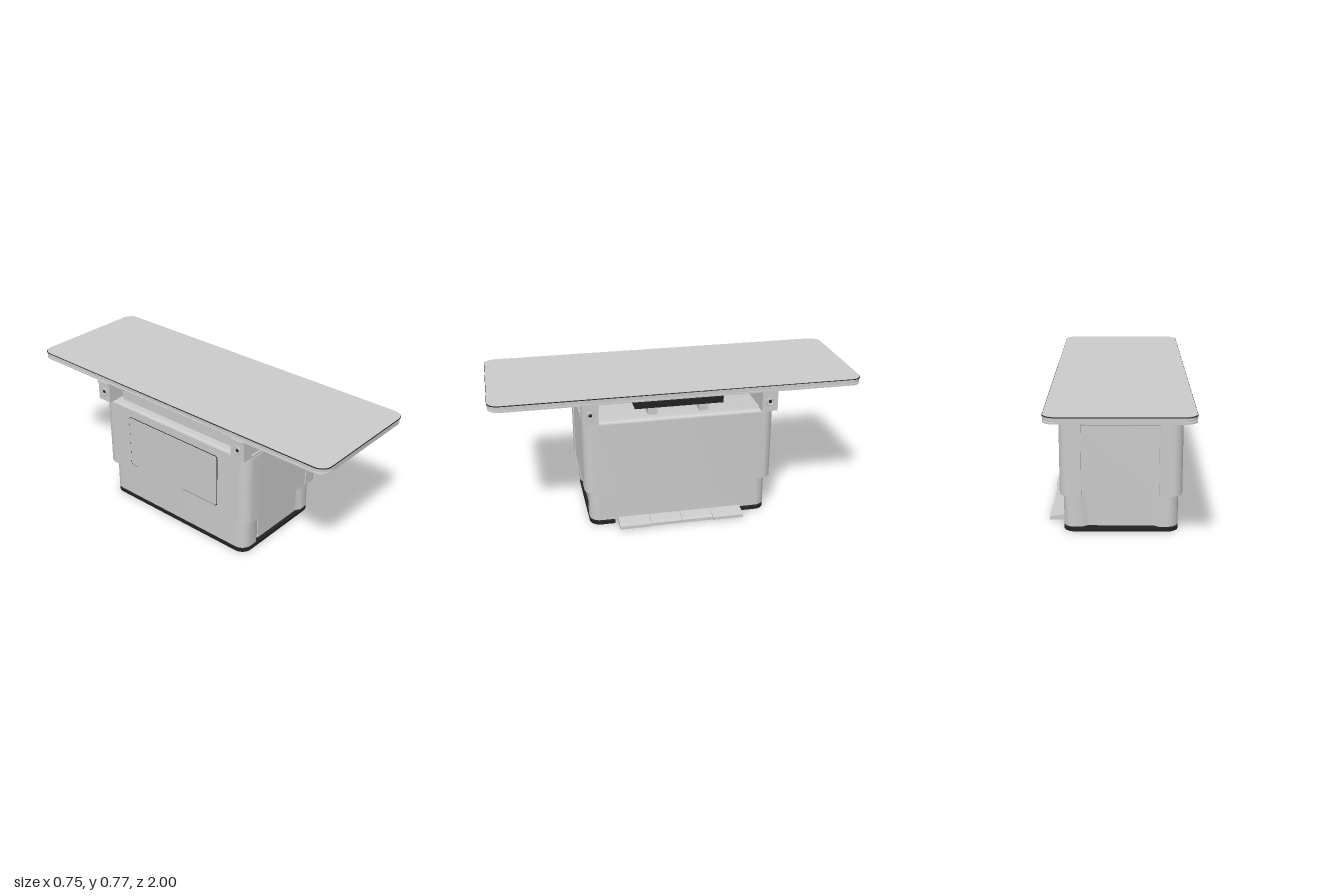
import * as THREE from 'three';
import { toCreasedNormals } from 'three/addons/utils/BufferGeometryUtils.js';

const CX = -0.0175; // the body's centre line in x

export function createModel() {
  const model = new THREE.Group();
  model.name = 'adjustableTable';
  const light = new THREE.MeshStandardMaterial({ color: 0xcbcbcb });
  light.name = 'light grey';
  const dark = new THREE.MeshStandardMaterial({ color: 0x222222 });
  dark.name = 'near black';

  function add(name, geometry, material, parent = model) {
    const mesh = new THREE.Mesh(geometry, material);
    mesh.name = name;
    parent.add(mesh);
    return mesh;
  }

  function box(name, x0, x1, y0, y1, z0, z1, material = light, parent = model) {
    const mesh = add(name, new THREE.BoxGeometry(x1 - x0, y1 - y0, z1 - z0), material, parent);
    mesh.position.set((x0 + x1) / 2, (y0 + y1) / 2, (z0 + z1) / 2);
    return mesh;
  }

  // Rounded rectangle; an optional recess {a, b, depth, slope} is cut in both short ends
  function outline(x0, x1, z, r, recess, Type = THREE.Shape) {
    const s = new Type();
    const end = (sign) => {
      if (!recess) return;
      const { a, b, depth, slope } = recess;
      const pts = [[a, z], [a + slope, z - depth], [b - slope, z - depth], [b, z]];
      if (sign > 0) pts.reverse();
      pts.forEach(([x, y]) => s.lineTo(x, sign * y));
    };
    s.moveTo(x0 + r, -z);
    end(-1);
    s.absarc(x1 - r, -z + r, r, -Math.PI / 2, 0);
    s.absarc(x1 - r, z - r, r, 0, Math.PI / 2);
    end(1);
    s.absarc(x0 + r, z - r, r, Math.PI / 2, Math.PI);
    s.absarc(x0 + r, -z + r, r, Math.PI, Math.PI * 1.5);
    return s;
  }

  // Upright slab from an outline, with an optional bevel that stays inside y0..y1
  function slab(name, shape, y0, y1, material = light, bevel = 0) {
    let g = new THREE.ExtrudeGeometry(shape, {
      depth: y1 - y0 - 2 * bevel, curveSegments: 10, bevelEnabled: bevel > 0,
      bevelSize: bevel, bevelThickness: bevel, bevelOffset: -bevel, bevelSegments: 4,
    });
    g.rotateX(-Math.PI / 2);
    g.translate(0, y0 + bevel, 0);
    return add(name, toCreasedNormals(g, 0.6), material);
  }

  // Base plate, cut away on the pedal side
  const base = new THREE.Shape();
  base.moveTo(-0.26, -0.495);
  base.absarc(0.225, -0.435, 0.06, -Math.PI / 2, 0);
  [[0.285, -0.36], [0.19, -0.36], [0.19, 0.36], [0.285, 0.36]].forEach(([x, y]) => base.lineTo(x, y));
  base.absarc(0.225, 0.435, 0.06, 0, Math.PI / 2);
  base.absarc(-0.26, 0.435, 0.06, Math.PI / 2, Math.PI);
  base.absarc(-0.26, -0.435, 0.06, Math.PI, Math.PI * 1.5);
  slab('basePlate', base, 0, 0.017, dark);
  slab('baseGasket', outline(-0.29, 0.265, 0.47, 0.05), 0.016, 0.028, dark);

  // Fixed lower housing and the sliding upper housing
  slab('lowerHousing', outline(-0.32, 0.285, 0.495, 0.06, { a: -0.217, b: 0.19, depth: 0.02, slope: 0.03 }), 0.027, 0.21);
  const seam = { a: -0.217, b: 0.19, depth: 0.005, slope: 0.001 };
  slab('upperHousing', outline(-0.34, 0.305, 0.52, 0.06, seam), 0.205, 0.6);
  slab('housingShoulder', outline(-0.34, 0.305, 0.52, 0.06), 0.585, 0.618, light, 0.016);

  // Screwed cover plates on both ends of the lower housing
  for (const s of [-1, 1]) {
    const cover = new THREE.Group();
    cover.name = 'endCover';
    box('coverPlate', -0.184, 0.158, 0.03, 0.195, s * 0.478 - 0.003, s * 0.478 + 0.003, light, cover);
    for (const x of [-0.183, 0.157]) for (const y of [0.045, 0.188]) {
      const screw = add('coverScrew', new THREE.CylinderGeometry(0.005, 0.005, 0.006, 12), light, cover);
      screw.rotation.x = Math.PI / 2;
      screw.position.set(x, y, s * 0.482);
    }
    model.add(cover);
  }

  // Rounded service panel on the -x side, with its gasket
  for (const [name, grow, depth, mat] of [['panelGasket', 0.003, 0.002, dark], ['servicePanel', 0, 0.004, light]]) {
    const shape = outline(-0.32 - grow, 0.32 + grow, 0.152 + grow, 0.015);
    const g = new THREE.ExtrudeGeometry(shape, { depth, bevelEnabled: false });
    g.rotateY(-Math.PI / 2);
    add(name, g, mat).position.set(-0.34, 0.405, 0);
  }

  // Row of four foot pedals, each a wedge sloping outwards
  for (let i = 0; i < 4; i++) {
    const tip = i === 0 || i === 3 ? 0.37 : 0.364;
    const profile = new THREE.Shape([
      [0.19, 0.012], [0.285, 0.007], [tip, 0.005], [tip, 0.022], [0.345, 0.028], [0.285, 0.036], [0.19, 0.036],
    ].map(([x, y]) => new THREE.Vector2(x, y)));
    const g = new THREE.ExtrudeGeometry(profile, { depth: 0.171, bevelEnabled: false });
    add('footPedal', g, light).position.z = -0.345 + i * 0.173;
  }

  // Cross beams carrying the top, with end blocks, cover plates and pivots
  for (const s of [-1, 1]) {
    const beam = new THREE.Group();
    beam.name = 'crossBeam';
    box('beamCore', -0.33, 0.305, 0.61, 0.728, -0.035, 0.025, light, beam);
    box('beamTopLip', -0.345, 0.32, 0.71, 0.73, -0.04, 0.04, light, beam);
    box('beamBottomLip', -0.31, 0.285, 0.612, 0.624, -0.035, 0.038, light, beam);
    box('beamCover', -0.31, 0.285, 0.626, 0.707, 0.025, 0.031, light, beam);
    for (const x of [-0.3, 0.272]) for (const y of [0.633, 0.698]) {
      const screw = add('beamScrew', new THREE.CylinderGeometry(0.004, 0.004, 0.005, 10), light, beam);
      screw.rotation.x = Math.PI / 2;
      screw.position.set(x, y, 0.032);
    }
    for (const side of [-1, 1]) {
      const x = CX + side * 0.325;
      box('endBlock', x - 0.03, x + 0.03, 0.62, 0.73, -0.043, 0.043, light, beam);
      box('mountPad', x - 0.04, x + 0.03, 0.728, 0.737, -0.04, 0.04, light, beam);
      const ring = add('pivotRing', new THREE.TorusGeometry(0.019, 0.004, 8, 24), light, beam);
      ring.rotation.y = Math.PI / 2;
      ring.position.set(x + side * 0.03, 0.675, 0);
      const pin = add('pivotPin', new THREE.CylinderGeometry(0.009, 0.009, 0.006, 16), dark, beam);
      pin.rotation.z = Math.PI / 2;
      pin.position.set(x + side * 0.029, 0.675, 0);
    }
    beam.position.z = s * 0.482;
    if (s < 0) beam.scale.z = -1;
    model.add(beam);
  }

  // Carrier between the beams and the dark sliding unit on the +x side
  box('carrier', -0.29, -0.1, 0.61, 0.722, -0.42, 0.42);
  box('sliderBody', 0.08, 0.28, 0.668, 0.702, -0.24, 0.24, dark);
  box('sliderTop', 0.08, 0.265, 0.7, 0.738, -0.2, 0.2, dark);
  for (const z of [-0.14, 0.14]) box('sliderFoot', 0.19, 0.25, 0.612, 0.67, z - 0.025, z + 0.025);

  // Table top: open rim below, grooved edge, dark seal and top skin
  const [x0, x1, zEnd, r] = [-0.372, 0.344, 0.996, 0.06];
  const rim = outline(x0, x1, zEnd, r);
  rim.holes.push(outline(x0 + 0.05, x1 - 0.05, zEnd - 0.05, 0.03, null, THREE.Path));
  slab('topRim', rim, 0.733, 0.741);
  slab('topGroove', outline(x0 + 0.007, x1 - 0.007, zEnd - 0.007, r), 0.74, 0.748);
  slab('topFrame', outline(x0, x1, zEnd, r), 0.747, 0.765);
  slab('topSeal', outline(x0, x1, 1, r), 0.764, 0.768, dark);
  slab('topSkin', outline(x0 + 0.002, x1 - 0.002, 0.998, r), 0.767, 0.77);
  for (const s of [-1, 1]) box('topEndPlate', -0.302, 0.278, 0.741, 0.763, s * 0.995 - 0.004, s * 0.995 + 0.004);

  return model;
}
